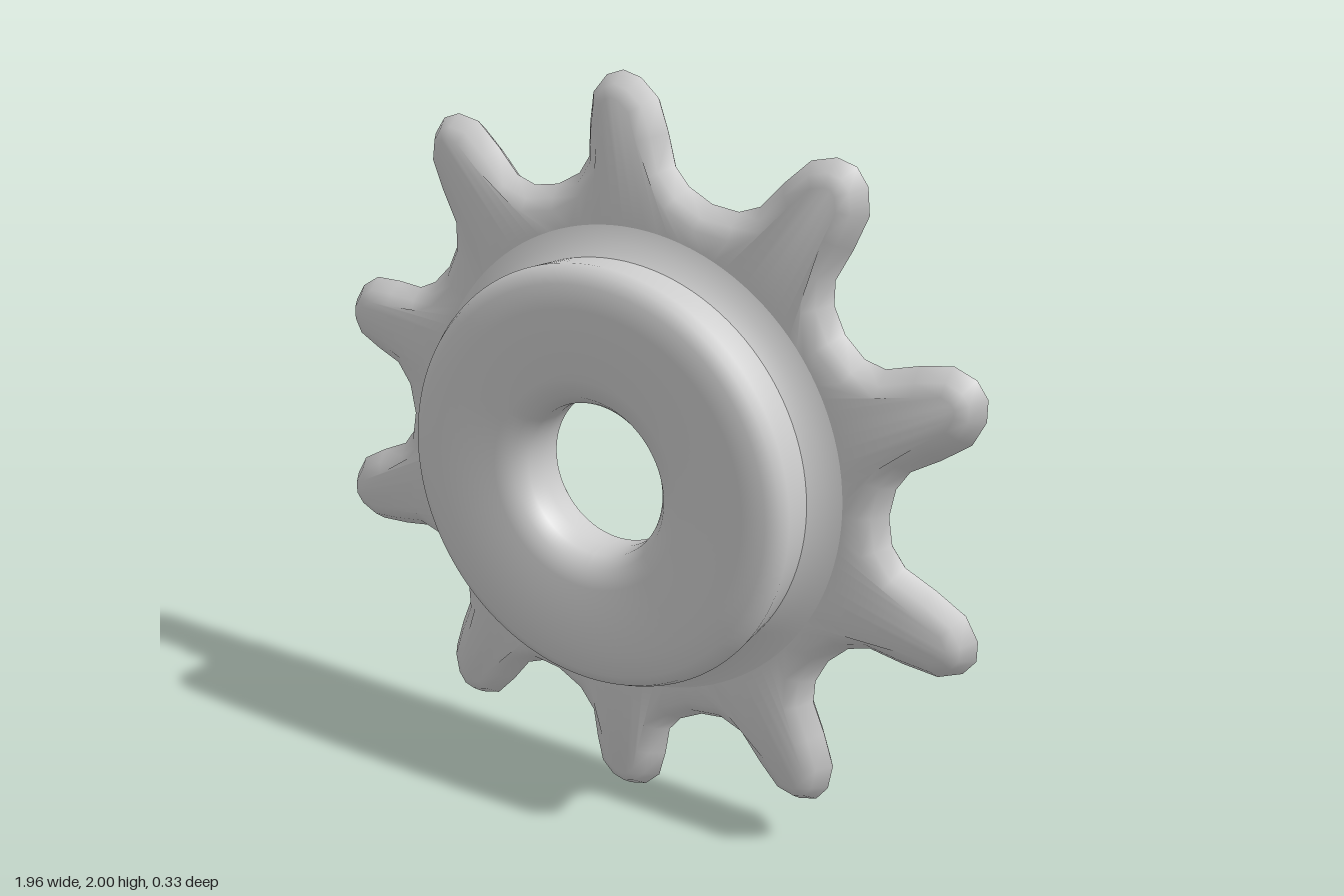
import * as THREE from 'three';
import { toCreasedNormals } from 'three/addons/utils/BufferGeometryUtils.js';

const TEETH = 10;
// Half a tooth from tip to valley: [radial, sideways]
const HALF = [[1, 0], [0.985, 0.05], [0.94, 0.095], [0.86, 0.115], [0.78, 0.127], [0.735, 0.162], [0.7, 0.2275]];
// Slight wear of each tooth, counter-clockwise from the top: [reach, sideways lean]
const WEAR = [
  [1, 0.03], [1.025, -0.01], [0.985, 0.015], [1.025, -0.01], [1.025, 0.03],
  [0.995, 0], [1.025, -0.025], [1.035, 0], [1.015, 0.025], [1.025, 0],
];
const PER = 2 * (HALF.length - 1);
const N = TEETH * PER;

// Closed toothed outline, counter-clockwise, starting at the top tip
function toothOutline() {
  const pts = [];
  for (let i = 0; i < N; i++) {
    const tooth = Math.round(i / PER - 1e-6);
    const k = i - tooth * PER;
    let [u, v] = HALF[Math.abs(k)];
    v *= Math.sign(k);
    const [reach, lean] = WEAR[tooth % TEETH];
    const w = Math.max(0, (u - 0.74) / 0.26);
    u += w * (reach - 1);
    v += w * lean;
    const a = Math.PI / 2 + (tooth * Math.PI * 2) / TEETH;
    pts.push(new THREE.Vector2(u * Math.cos(a) - v * Math.sin(a), u * Math.sin(a) + v * Math.cos(a)));
  }
  return pts;
}

// Outline moved inwards by a distance, at depth z
function outlineRing(outline, inset, z) {
  return outline.map((p, i) => {
    const t = outline[(i + 1) % N].clone().sub(outline[(i + N - 1) % N]).normalize();
    return [p.x - t.y * inset, p.y + t.x * inset, z];
  });
}

// Round ring, matching the outline point for point
function circleRing(r, z) {
  return Array.from({ length: N }, (_, i) => {
    const a = Math.PI / 2 + (i / N) * Math.PI * 2;
    return [0.01 + r * Math.cos(a), r * Math.sin(a), z];
  });
}

// Skin a row of rings
function loft(name, rings, material) {
  const index = [];
  for (let r = 0; r < rings.length - 1; r++) {
    for (let i = 0; i < N; i++) {
      const j = (i + 1) % N;
      const a = r * N + i, b = r * N + j, c = a + N, d = b + N;
      index.push(a, b, c, b, d, c);
    }
  }
  const geo = new THREE.BufferGeometry();
  geo.setAttribute('position', new THREE.Float32BufferAttribute(rings.flat(2), 3));
  geo.setIndex(index);
  const mesh = new THREE.Mesh(toCreasedNormals(geo, 0.7), material);
  mesh.name = name;
  mesh.position.y = 1;
  return mesh;
}

export function createModel() {
  const group = new THREE.Group();
  group.name = 'sprocket';
  const material = new THREE.MeshStandardMaterial({ color: 0xcccccc });
  const outline = toothOutline();

  // Plate: back deeply dished around the bore, rounded teeth, front face up to the hub
  const plate = loft('toothedPlate', [
    circleRing(0.205, -0.015),
    circleRing(0.235, -0.05),
    circleRing(0.29, -0.095),
    circleRing(0.37, -0.135),
    circleRing(0.46, -0.158),
    circleRing(0.57, -0.166),
    outlineRing(outline, 0.06, -0.154),
    outlineRing(outline, 0.03, -0.132),
    outlineRing(outline, 0, -0.085),
    outlineRing(outline, 0.03, -0.044),
    outlineRing(outline, 0.06, -0.027),
    circleRing(0.63, -0.025),
  ], material);

  // Hub: fillet, rim, chamfer, front face, short bevelled bore
  const hub = loft('hub', [
    circleRing(0.63, -0.025),
    circleRing(0.59, -0.01),
    circleRing(0.557, 0.02),
    circleRing(0.563, 0.12),
    circleRing(0.55, 0.145),
    circleRing(0.52, 0.162),
    circleRing(0.46, 0.165),
    circleRing(0.28, 0.16),
    circleRing(0.23, 0.145),
    circleRing(0.205, 0.11),
    circleRing(0.2, 0.05),
    circleRing(0.205, -0.015),
  ], material);

  group.add(plate, hub);
  return group;
}
